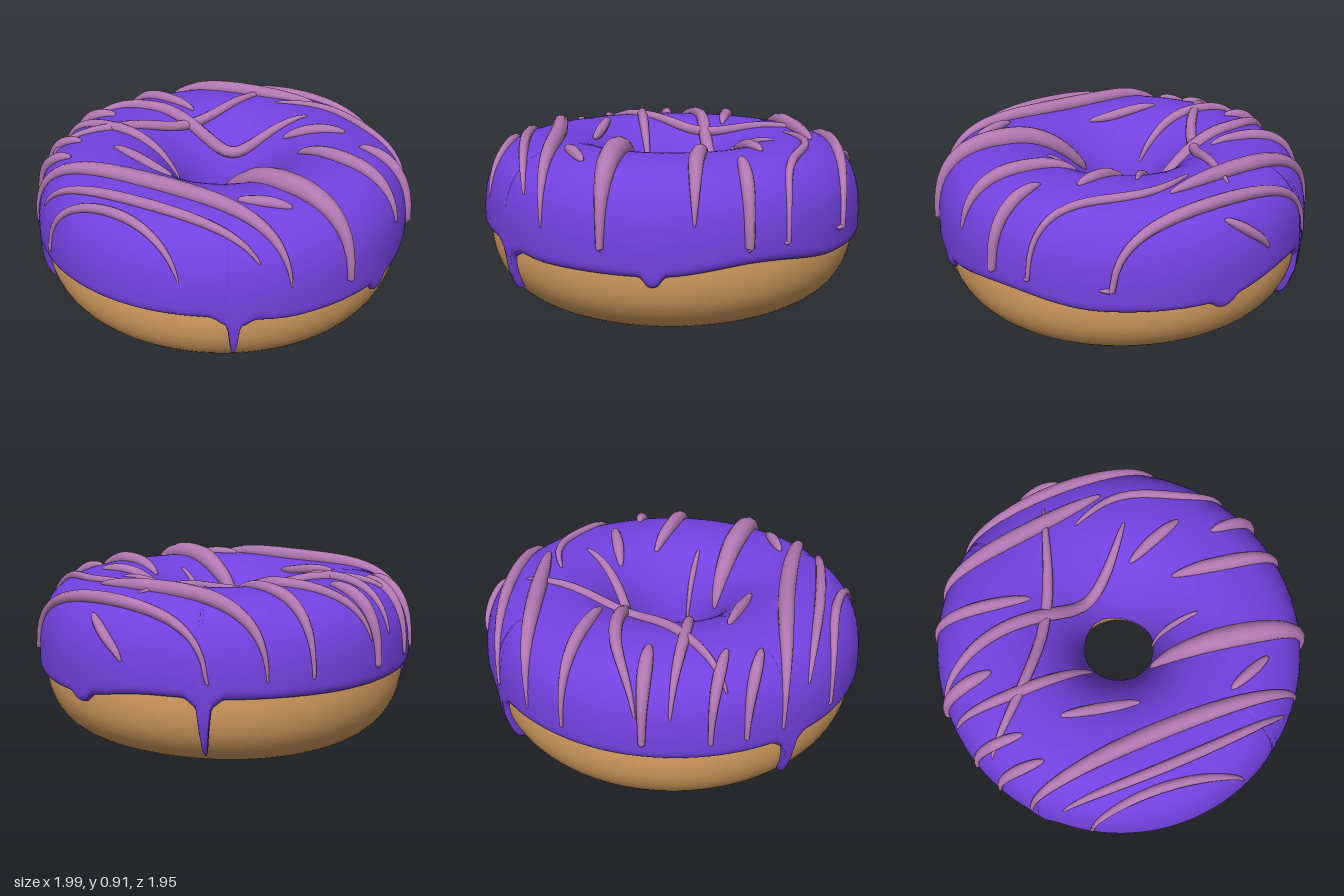
import * as THREE from 'three';

const mat = (name, color) => Object.assign(new THREE.MeshStandardMaterial({ color }), { name });

const MID_R = 0.585, MID_Y = 0.405;
const DOUGH = [0.37, 0.395], ICING = [0.4, 0.435]; // half width, half height of the ring section
const SX = 1.01, SZ = 0.985; // slightly oval plan

// Roundness of the section: squarer outside, rounder towards the hole
const power = (a) => (Math.cos(a) < 0 ? 2 : Math.sin(a) > 0 ? 2.8 : 2.35);

// Point on the ring: th around the ring, a around the section, f from dough (0) to icing (1)
function ring(th, a, f) {
  const c = Math.cos(a), s = Math.sin(a), n = power(a);
  const rho = (Math.abs(c) ** n + Math.abs(s) ** n) ** (-1 / n);
  const w = DOUGH[0] + (ICING[0] - DOUGH[0]) * f;
  const h = DOUGH[1] + (ICING[1] - DOUGH[1]) * f;
  const r = MID_R + w * rho * c;
  const sag = 0.01 * Math.cos(2 * th) * Math.max(0, -s);
  return new THREE.Vector3(SX * r * Math.cos(th), MID_Y + h * rho * s + sag, SZ * r * Math.sin(th));
}

// Smooth surface from a rule, with optional wrap in either direction
function grid(nu, nv, wrapU, wrapV, fn) {
  const cu = wrapU ? nu : nu + 1, cv = wrapV ? nv : nv + 1;
  const pos = [], idx = [];
  for (let i = 0; i < cu; i++)
    for (let j = 0; j < cv; j++) pos.push(...fn(i / nu, j / nv).toArray());
  for (let i = 0; i < nu; i++)
    for (let j = 0; j < nv; j++) {
      const i2 = (i + 1) % cu, j2 = (j + 1) % cv;
      const p = i * cv + j, q = i * cv + j2, r = i2 * cv + j2, s = i2 * cv + j;
      idx.push(p, q, r, p, r, s);
    }
  const g = new THREE.BufferGeometry();
  g.setAttribute('position', new THREE.Float32BufferAttribute(pos, 3));
  g.setIndex(idx);
  g.computeVertexNormals();
  return g;
}

// Height of the icing rim every 30 degrees, and drips: [degrees, length, width]
const RIM = [0.345, 0.35, 0.39, 0.345, 0.35, 0.39, 0.39, 0.385, 0.385, 0.385, 0.39, 0.4];
const DRIPS = [
  [90, 0.05, 0.045], [-5, 0.04, 0.06],
  [139, 0.045, 0.08], [139, 0.18, 0.024],
  [-44, 0.05, 0.07], [-44, 0.24, 0.026],
  [219, 0.05, 0.07], [219, 0.18, 0.026],
];

// Section angle of the outer icing rim at th
function rimAngle(th) {
  const k = (th / (2 * Math.PI)) * 12, i = Math.floor(k), t = (1 - Math.cos((k - i) * Math.PI)) / 2;
  let y = RIM[i % 12] * (1 - t) + RIM[(i + 1) % 12] * t;
  for (const [deg, len, w] of DRIPS) {
    const d = th - THREE.MathUtils.degToRad(deg);
    const x = Math.atan2(Math.sin(d), Math.cos(d)) / w;
    y -= len * Math.exp(-(x ** 4) * 0.6 - x * x * 0.4);
  }
  const s = (y - MID_Y) / DOUGH[1], n = s > 0 ? 2.8 : 2.35;
  return Math.atan2(s, (1 - Math.abs(s) ** n) ** (1 / n));
}

// Icing shell with a rounded lip at both rims
function icingPoint(u, v) {
  const th = u * 2 * Math.PI;
  const a0 = rimAngle(th), a1 = Math.PI + 0.05 * Math.sin(3 * th);
  const a = a0 + (a1 - a0) * (0.5 - 0.5 * Math.cos(v * Math.PI));
  const d = THREE.MathUtils.clamp(Math.min(a - a0, a1 - a) / 0.12, 0, 1);
  return ring(th, a, -0.15 + 1.15 * Math.sqrt(1 - (1 - d) ** 2));
}

// Lay a plan point onto the icing, with the outward normal there
function onIcing(x, z) {
  const px = x / SX, pz = z / SZ;
  const c = THREE.MathUtils.clamp((Math.hypot(px, pz) - MID_R) / ICING[0], -0.995, 0.998);
  const n = c < 0 ? 2 : 2.8;
  const a = Math.atan2((1 - Math.abs(c) ** n) ** (1 / n), c), th = Math.atan2(pz, px);
  const p = ring(th, a, 1), e = 0.01;
  const da = ring(th, a + e, 1).sub(ring(th, a - e, 1));
  const dt = ring(th + e, a, 1).sub(ring(th - e, a, 1));
  return { p, n: da.cross(dt).normalize() };
}

// Tapered strand lying on the icing: a line in plan, bent sideways by bow (C curve) and sway (S curve)
function strand(radius, x0, z0, x1, z1, bow = 0, sway = 0) {
  const N = 48, M = 10, sec = [];
  const dx = x1 - x0, dz = z1 - z0, len = Math.hypot(dx, dz);
  for (let k = 0; k <= N; k++) {
    const t = 0.5 - 0.5 * Math.cos((k / N) * Math.PI);
    const off = (bow * Math.sin(Math.PI * t) + sway * Math.sin(2 * Math.PI * t)) / len;
    const s = onIcing(x0 + dx * t - dz * off, z0 + dz * t + dx * off);
    s.rad = 0.003 + radius * Math.max(0, Math.sin((k / N) * Math.PI)) ** 1.1;
    s.p.addScaledVector(s.n, s.rad * 0.2);
    sec.push(s);
  }
  return grid(N, M, false, true, (u, v) => {
    const k = Math.round(u * N), s = sec[k], b = v * 2 * Math.PI;
    const t = sec[Math.min(N, k + 1)].p.clone().sub(sec[Math.max(0, k - 1)].p).normalize();
    const side = t.cross(s.n).normalize();
    return s.p.clone().addScaledVector(s.n, s.rad * Math.cos(b)).addScaledVector(side, s.rad * Math.sin(b));
  });
}

// Drizzle: radius, start x z, end x z, bow, sway
const STRANDS = [
  [0.022, -0.92, -0.4, -0.885, 0.42, -0.045],
  [0.025, -0.82, -0.5, -0.64, 0.7, 0.03],
  [0.042, -0.74, -0.66, -0.54, 0.81, -0.045],
  [0.026, -0.59, -0.79, -0.59, -0.53],
  [0.026, -0.44, -0.88, -0.44, -0.6],
  [0.026, -0.26, -0.92, -0.15, -0.18, 0.02],
  [0.032, -0.14, -0.98, -0.09, -0.68],
  [0.032, -0.1, -0.95, 0.54, 0.17, 0.074, -0.073],
  [0.026, -0.49, -0.78, 0.73, -0.22, 0.125],
  [0.03, 0.27, -0.94, 0.25, -0.4],
  [0.04, 0.48, -0.85, 0.73, 0.09],
  [0.02, 0.59, -0.08, 0.62, 0.81, -0.064, -0.045],
  [0.03, 0.7, -0.7, 0.88, 0.52, -0.05],
  [0.022, 0.91, -0.1, 0.925, -0.34, 0.015],
  [0.055, -0.2, 0.12, -0.24, 0.965],
  [0.012, -0.03, 0.18, -0.03, 0.41],
  [0.036, 0.2, 0.34, 0.19, 0.94, 0.015],
  [0.028, 0.34, 0.15, 0.48, 0.45],
  [0.03, 0.38, 0.6, 0.445, 0.92],
  [0.026, -0.48, 0.45, -0.36, 0.68],
  [0.026, -0.4, -0.4, -0.42, 0],
];

export function createModel() {
  const group = new THREE.Group();
  group.name = 'doughnut';
  const add = (parent, name, geo, m) => {
    const mesh = new THREE.Mesh(geo, m);
    mesh.name = name;
    parent.add(mesh);
  };

  add(group, 'dough', grid(96, 64, true, true, (u, v) => ring(u * 2 * Math.PI, v * 2 * Math.PI, 0)), mat('dough', 0xdca263));
  add(group, 'icing', grid(540, 56, true, false, icingPoint), mat('icing', 0x7341e0));

  const drizzle = new THREE.Group();
  drizzle.name = 'drizzle';
  const mauve = mat('drizzle', 0xb277b2);
  STRANDS.forEach((row, i) => add(drizzle, `drizzleStrand${i + 1}`, strand(...row), mauve));
  group.add(drizzle);
  return group;
}
